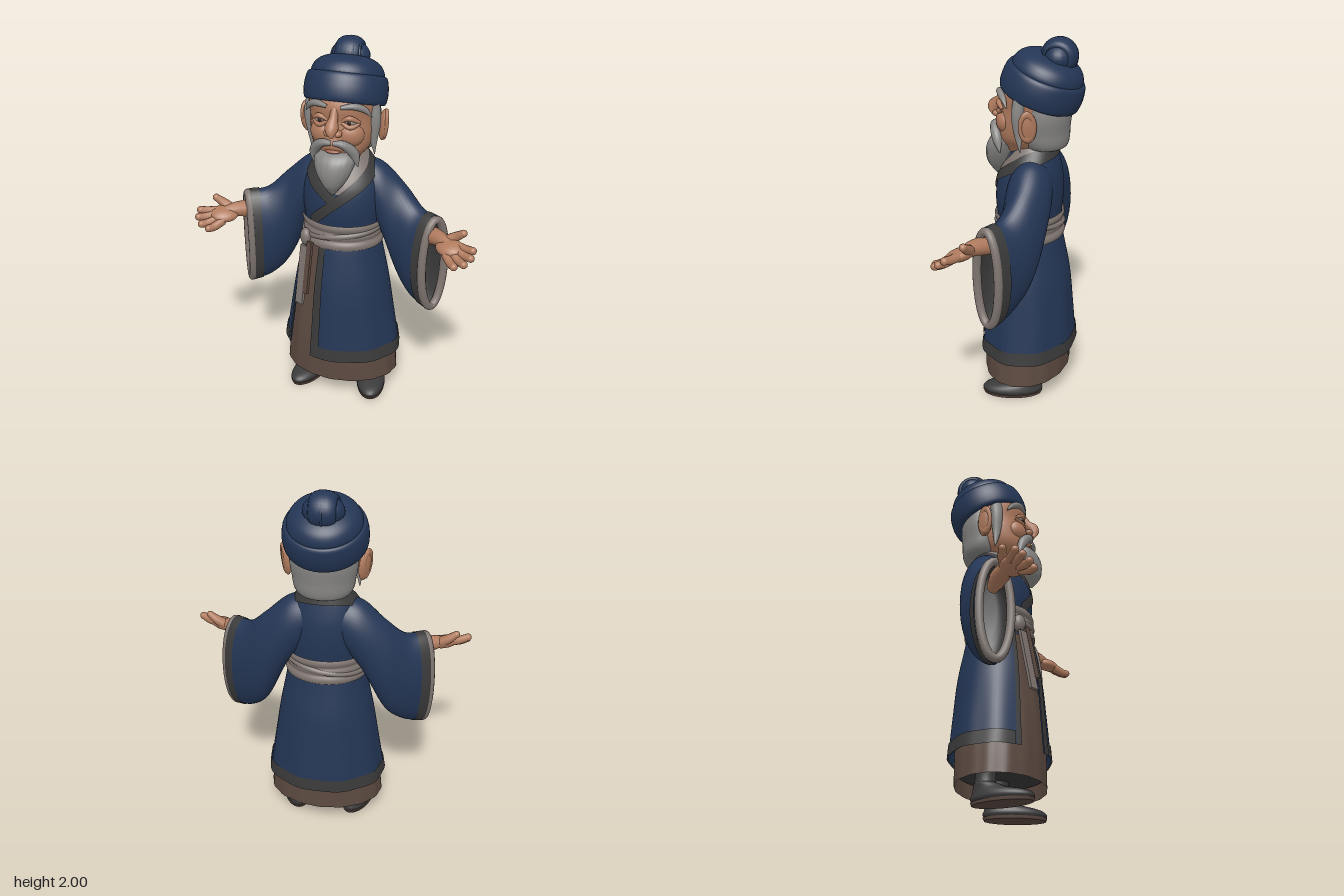
import * as THREE from 'three';
import { mergeVertices } from 'three/addons/utils/BufferGeometryUtils.js';

const V = (x, y, z) => new THREE.Vector3(x, y, z);
const RAD = Math.PI / 180;

// Smooth lookup in rows sorted by their first column; returns the other columns.
function at(rows, k) {
  const n = rows.length;
  let i = 0;
  while (i < n - 2 && k > rows[i + 1][0]) i++;
  const a = rows[i], b = rows[i + 1], p = rows[Math.max(i - 1, 0)], q = rows[Math.min(i + 2, n - 1)];
  const h = b[0] - a[0], t = Math.min(Math.max((k - a[0]) / h, 0), 1);
  return a.slice(1).map((_, j) => {
    const c = j + 1;
    const m0 = (b[c] - p[c]) / (b[0] - p[0]) * h, m1 = (q[c] - a[c]) / (q[0] - a[0]) * h;
    return a[c] * (2 * t ** 3 - 3 * t * t + 1) + m0 * (t ** 3 - 2 * t * t + t) + b[c] * (3 * t * t - 2 * t ** 3) + m1 * (t ** 3 - t * t);
  });
}

// Grid surface from f(u, v) -> Vector3.
function patch(f, nu, nv) {
  const pos = [], idx = [];
  for (let j = 0; j <= nv; j++) for (let i = 0; i <= nu; i++) pos.push(...f(i / nu, j / nv).toArray());
  for (let j = 0; j < nv; j++) for (let i = 0; i < nu; i++) {
    const a = j * (nu + 1) + i, c = a + nu + 1;
    idx.push(a, a + 1, c + 1, a, c + 1, c);
  }
  let g = new THREE.BufferGeometry();
  g.setAttribute('position', new THREE.Float32BufferAttribute(pos, 3));
  g.setIndex(idx);
  g = mergeVertices(g, 1e-5);
  g.computeVertexNormals();
  return g;
}

// Upright loft of ellipses; rows are [y, rx, rz, cz].
function loft(rows, nu = 40, nv = 28, ripple = 0) {
  const y0 = rows[0][0], y1 = rows[rows.length - 1][0];
  return patch((u, v) => {
    const y = y0 + (y1 - y0) * v, a = u * 2 * Math.PI, [rx, rz, cz] = at(rows, y), k = 1 + ripple * Math.cos(16 * a);
    return V(rx * k * Math.sin(a), y, cz + rz * k * Math.cos(a));
  }, nu, nv);
}

// Tapered tube along a smooth path.
function sweep(pts, radii, n = 16, m = 12) {
  const curve = new THREE.CatmullRomCurve3(pts.map(p => V(...p)));
  const g = new THREE.TubeGeometry(curve, n, 1, m), P = g.attributes.position, p = V();
  const rows = radii.map((r, i) => [i / (radii.length - 1), r]);
  for (let i = 0; i <= n; i++) {
    const c = curve.getPointAt(i / n), r = Math.max(at(rows, i / n)[0], 0.0005);
    for (let j = 0; j <= m; j++) {
      const k = i * (m + 1) + j;
      p.fromBufferAttribute(P, k).sub(c).multiplyScalar(r).add(c);
      P.setXYZ(k, p.x, p.y, p.z);
    }
  }
  return g;
}

const ball = (r, p, rot = [0, 0, 0]) => new THREE.SphereGeometry(1, 24, 16).scale(...r)
  .rotateX(rot[0]).rotateY(rot[1]).rotateZ(rot[2]).translate(...p);

function mirror(g) {
  const m = g.clone().scale(-1, 1, 1), a = m.index.array;
  for (let i = 0; i < a.length; i += 3) [a[i], a[i + 1]] = [a[i + 1], a[i]];
  return m;
}

// Robe silhouette: [y, rx, rz, cz]
const ROBE = [[0.26, 0.33, 0.258, -0.01], [0.5, 0.292, 0.24, -0.01], [0.7, 0.26, 0.222, -0.01], [0.9, 0.22, 0.185, -0.01],
  [1.0, 0.203, 0.168, -0.013], [1.15, 0.218, 0.178, -0.013], [1.27, 0.21, 0.167, -0.02], [1.36, 0.172, 0.135, -0.035],
  [1.42, 0.125, 0.113, -0.042], [1.45, 0.1, 0.1, -0.045], [1.475, 0.082, 0.085, -0.045]];
function robeAt(deg, y, off = 0) {
  const [rx, rz, cz] = at(ROBE, y), a = deg * RAD;
  const k = 1 + 0.014 * Math.cos(9 * a) * Math.min(Math.max((0.9 - y) / 0.5, 0), 1);
  return V((rx * k + off) * Math.sin(a), y, cz + (rz * k + off) * Math.cos(a));
}
const robePatch = (d0, d1, y0, y1, off = 0, nu = 72, nv = 24) =>
  patch((u, v) => robeAt(d0 + (d1 - d0) * u, y0 + (y1 - y0) * v, off), nu, nv);
// Band following the robe; path rows are [degrees, y].
const robeBand = (path, half, off0, off1) => patch((u, v) => {
  const d = path[0][0] + (path[path.length - 1][0] - path[0][0]) * u;
  return robeAt(d, at(path, d)[0] + half * (2 * v - 1), off0 + (off1 - off0) * u);
}, 80, 6);

// Sleeve rows: [t, x, y, z, half height, half width, heading]
const SLEEVE = [[0, 0.08, 1.27, -0.05, 0.13, 0.11, -10], [0.25, 0.2, 1.18, -0.06, 0.19, 0.12, -5],
  [0.5, 0.32, 1.0, -0.045, 0.265, 0.115, 10], [0.75, 0.42, 0.9, 0.005, 0.27, 0.11, 25], [1, 0.515, 0.876, 0.055, 0.28, 0.102, 32]];
function sleeveAt(u, t, off = 0, k = 1) {
  const [x, y, z, vr, hr, deg] = at(SLEEVE, t), a = u * 2 * Math.PI, h = (hr + off) * k * Math.sin(a);
  return V(x - h * Math.sin(deg * RAD), y + (vr + off) * k * Math.cos(a), z + h * Math.cos(deg * RAD));
}

export function createModel() {
  const model = new THREE.Group();
  model.name = 'robedElder';
  const mat = (name, color, side = THREE.FrontSide) => {
    const m = new THREE.MeshStandardMaterial({ color, side });
    m.name = name;
    return m;
  };
  const D = THREE.DoubleSide;
  const navy = mat('navy cloth', 0x243655, D), trim = mat('charcoal trim', 0x393a39, D), brown = mat('brown skirt', 0x5c4a41, D);
  const taupe = mat('taupe sash', 0x7f7570, D), skin = mat('skin', 0xb07b5e), hair = mat('grey hair', 0x868584);
  const white = mat('eye white', 0xa79c92), dark = mat('iris', 0x33261f), lip = mat('lip', 0x9c6350);
  const add = (name, g, m) => {
    const mesh = new THREE.Mesh(g, m);
    mesh.name = name;
    model.add(mesh);
    return mesh;
  };
  const pair = (name, g, m) => { add(name + 'Left', g, m); add(name + 'Right', mirror(g), m); };

  // Robe with an open slit at the right front, trimmed edges and crossed collar
  add('robeTop', robePatch(0, 360, 0.94, 1.475), navy);
  add('robeSkirt', robePatch(-20, 306, 0.265, 0.97), navy);
  add('hemTrim', robePatch(-20, 300, 0.262, 0.335, 0.006, 72, 3), trim);
  add('frontEdgeTrim', robePatch(-21, -11, 0.262, 0.95, 0.008, 5, 24), trim);
  add('sideEdgeTrim', robePatch(301, 306.5, 0.262, 0.95, 0.006, 3, 24), trim);
  const collar = [[-38, 1.06], [-15, 1.14], [15, 1.24], [50, 1.325], [90, 1.385], [180, 1.425], [270, 1.385], [310, 1.325], [345, 1.25], [364, 1.2]];
  add('collar', robeBand(collar, 0.036, 0.009, 0.006), trim);
  add('innerCollar', robeBand(collar.slice(2, 9).map(([d, y]) => [d, y + 0.05]), 0.045, 0.004, 0.004), taupe);
  add('chestInset', robePatch(-30, 25, 1.25, 1.45, 0.002, 12, 8), taupe);

  // Underskirt
  add('underskirt', loft([[0.12, 0.322, 0.232, -0.005], [0.3, 0.304, 0.232, -0.005], [0.5, 0.272, 0.215, -0.005], [0.92, 0.19, 0.155, -0.01]], 96, 16, 0.008), brown);
  add('skirtLining', new THREE.CircleGeometry(1, 40).rotateX(Math.PI / 2).scale(0.306, 1, 0.228).translate(0, 0.2, -0.005), trim);

  // Sash with folds, knot and hanging tails
  add('sash', patch((u, v) => robeAt(u * 360, 0.93 + 0.14 * v, 0.008 + 0.008 * Math.abs(Math.sin(3 * Math.PI * v))), 64, 24), taupe);
  const wrap = Array.from({ length: 24 }, (_, i) => robeAt(i * 15, 1.0 + 0.03 * Math.sin(i * 15 * RAD), 0.004));
  add('sashWrap', new THREE.TubeGeometry(new THREE.CatmullRomCurve3(wrap, true), 72, 0.018, 10, true), taupe);
  add('sashKnot', ball([0.036, 0.05, 0.03], [-0.168, 0.96, 0.122], [0, -0.8, 0]), taupe);
  [[-0.178, 0.745, 0.168, 0.055, 0.34, taupe], [-0.14, 0.8, 0.18, 0.035, 0.3, brown]].forEach(([x, y, z, w, h, m], i) => {
    const tail = add('sashTail' + (i + 1), new THREE.BoxGeometry(w, h, 0.016), m);
    tail.position.set(x, y, z);
    tail.rotation.set(-0.2, -0.5, -0.06);
  });

  // Wide sleeves
  pair('sleeve', patch((u, v) => sleeveAt(u, v), 40, 28), navy);
  pair('sleeveTrim', patch((u, v) => sleeveAt(u, 0.88 + 0.12 * v, 0.005), 40, 4), trim);
  pair('sleeveLining', patch((u, v) => sleeveAt(u, 1 - 0.4 * v, -0.012, Math.sqrt(1 - v ** 6)), 40, 14), trim);
  const rim = Array.from({ length: 28 }, (_, i) => sleeveAt(i / 28, 1, -0.018).add(V(0.008, 0, 0.005)));
  pair('cuff', new THREE.TubeGeometry(new THREE.CatmullRomCurve3(rim, true), 64, 0.023, 10, true), taupe);

  // Hands, palms up with rounded, gently curled fingers
  pair('forearm', sweep([[0.44, 1.03, 0.03], [0.51, 1.055, 0.078], [0.57, 1.062, 0.12], [0.62, 1.056, 0.15]], [0.03, 0.046, 0.042, 0.03]), skin);
  pair('palm', ball([0.078, 0.034, 0.062], [0.622, 1.047, 0.163], [0.3, -0.55, 0]), skin);
  [[[0.65, 1.058, 0.15], [0.705, 1.058, 0.175], [0.748, 1.066, 0.197]], [[0.65, 1.048, 0.175], [0.71, 1.037, 0.208], [0.745, 1.04, 0.231]],
    [[0.64, 1.035, 0.195], [0.69, 1.015, 0.236], [0.717, 1.015, 0.26]], [[0.615, 1.025, 0.205], [0.65, 1.003, 0.25], [0.67, 1.002, 0.274]]]
    .forEach((p, i) => {
      pair('finger' + (i + 1), sweep(p, [0.024, 0.023, 0.02], 12, 10), skin);
      pair('fingertip' + (i + 1), ball([0.0205, 0.0205, 0.0205], p[2]), skin);
    });
  pair('thumb', sweep([[0.595, 1.06, 0.125], [0.645, 1.09, 0.12], [0.685, 1.118, 0.125]], [0.03, 0.026, 0.019]), skin);
  pair('thumbTip', ball([0.0195, 0.0195, 0.0195], [0.685, 1.118, 0.125]), skin);

  // Head and face
  add('head', loft([[1.33, 0.08, 0.08, -0.05], [1.42, 0.1, 0.125, -0.005], [1.48, 0.146, 0.158, -0.003], [1.56, 0.168, 0.168, -0.015],
    [1.64, 0.174, 0.165, -0.028], [1.72, 0.18, 0.17, -0.03], [1.8, 0.16, 0.15, -0.05]]), skin);
  add('nose', sweep([[0, 1.71, 0.122], [0, 1.66, 0.15], [0, 1.61, 0.186], [0, 1.572, 0.185]], [0.02, 0.023, 0.035, 0.006], 20, 14), skin);
  add('muzzle', ball([0.09, 0.055, 0.055], [0, 1.52, 0.112]), skin);
  add('mouth', ball([0.04, 0.011, 0.02], [0, 1.492, 0.157]), lip);
  pair('nostril', ball([0.02, 0.018, 0.026], [0.028, 1.59, 0.158]), skin);
  pair('cheek', ball([0.07, 0.065, 0.05], [0.075, 1.57, 0.097], [0, 0.4, 0]), skin);
  pair('ear', ball([0.022, 0.085, 0.046], [0.202, 1.58, -0.058], [0, 0.45, -0.1]), skin);
  pair('earRim', new THREE.TorusGeometry(0.034, 0.011, 10, 24).scale(1, 1.9, 1).rotateY(Math.PI / 2 + 0.45).rotateZ(-0.1).translate(0.212, 1.586, -0.056), skin);
  pair('eye', ball([0.032, 0.018, 0.024], [0.08, 1.645, 0.111]), white);
  pair('iris', ball([0.011, 0.012, 0.005], [0.078, 1.644, 0.132]), dark);
  pair('upperLid', sweep([[0.038, 1.648, 0.13], [0.078, 1.668, 0.133], [0.125, 1.64, 0.098]], [0.007, 0.014, 0.007]), skin);
  pair('lowerLid', sweep([[0.038, 1.64, 0.13], [0.08, 1.62, 0.13], [0.125, 1.636, 0.098]], [0.007, 0.014, 0.007]), skin);

  // Hair, brows, moustache and beard
  pair('eyebrow', sweep([[0.035, 1.722, 0.14], [0.1, 1.728, 0.119], [0.145, 1.705, 0.088], [0.175, 1.66, 0.06]], [0.009, 0.017, 0.016, 0.002]), hair);
  pair('sideburn', sweep([[0.162, 1.71, -0.004], [0.174, 1.63, 0.003], [0.168, 1.52, 0.0], [0.172, 1.435, -0.008]], [0.034, 0.032, 0.022, 0.002], 20), hair);
  add('backHair', loft([[1.415, 0.002, 0.002, -0.11], [1.425, 0.1, 0.08, -0.11], [1.45, 0.145, 0.112, -0.105], [1.53, 0.166, 0.128, -0.096],
    [1.62, 0.176, 0.13, -0.1], [1.74, 0.16, 0.11, -0.1]]), hair);
  pair('moustache', sweep([[0.004, 1.54, 0.168], [0.055, 1.537, 0.164], [0.102, 1.49, 0.138], [0.12, 1.405, 0.115]], [0.012, 0.024, 0.025, 0.002]), hair);
  add('beard', loft([[1.25, 0.002, 0.002, 0.168], [1.28, 0.028, 0.032, 0.163], [1.32, 0.06, 0.058, 0.16], [1.38, 0.092, 0.075, 0.15],
    [1.44, 0.108, 0.077, 0.132], [1.475, 0.1, 0.068, 0.11], [1.49, 0.07, 0.045, 0.1]], 48, 28, 0.012), hair);

  // Tilted cap with rolled band and a cloth bun
  const cap = (name, pts) => {
    const m = add(name, new THREE.LatheGeometry(new THREE.SplineCurve(pts.map(p => new THREE.Vector2(...p))).getPoints(28), 48), navy);
    m.position.set(-0.005, 1.722, -0.07);
    m.rotation.x = -0.35;
  };
  cap('capBand', [[0.165, -0.02], [0.195, -0.043], [0.213, -0.03], [0.219, 0.025], [0.21, 0.085], [0.193, 0.104], [0.175, 0.09]]);
  cap('capCrown', [[0.19, 0.08], [0.188, 0.12], [0.16, 0.163], [0.1, 0.192], [0, 0.203]]);
  add('bunCurl', new THREE.TorusGeometry(0.06, 0.036, 16, 36).rotateY(Math.PI / 2).scale(1.9, 1, 1).translate(-0.01, 1.904, -0.165), navy);
  add('bunCore', ball([0.105, 0.078, 0.08], [-0.01, 1.9, -0.165]), navy);
  for (let i = -2; i <= 2; i++)
    add('bunFold' + (i + 3), new THREE.TorusGeometry(0.09 - 0.005 * i * i, 0.008, 8, 32).rotateY(Math.PI / 2 + i * 0.12).translate(-0.01 + i * 0.026, 1.902, -0.165), navy);

  // Legs and shoes, toes turned out
  const foot = g => g.rotateY(0.25).translate(0.185, 0, 0.035);
  pair('leg', foot(loft([[0.08, 0.055, 0.06, -0.09], [0.14, 0.047, 0.052, -0.09], [0.35, 0.06, 0.06, -0.06]], 24, 8)), trim);
  pair('shoe', foot(loft([[0.01, 0.072, 0.155, 0], [0.03, 0.082, 0.168, 0], [0.055, 0.075, 0.148, -0.012], [0.08, 0.06, 0.095, -0.06],
    [0.108, 0.052, 0.06, -0.088], [0.12, 0.03, 0.035, -0.09]], 36, 16)), trim);
  pair('sole', foot(new THREE.CylinderGeometry(1, 0.96, 0.016, 36).scale(0.082, 1, 0.168).translate(0, 0.008, 0)), brown);
  return model;
}
